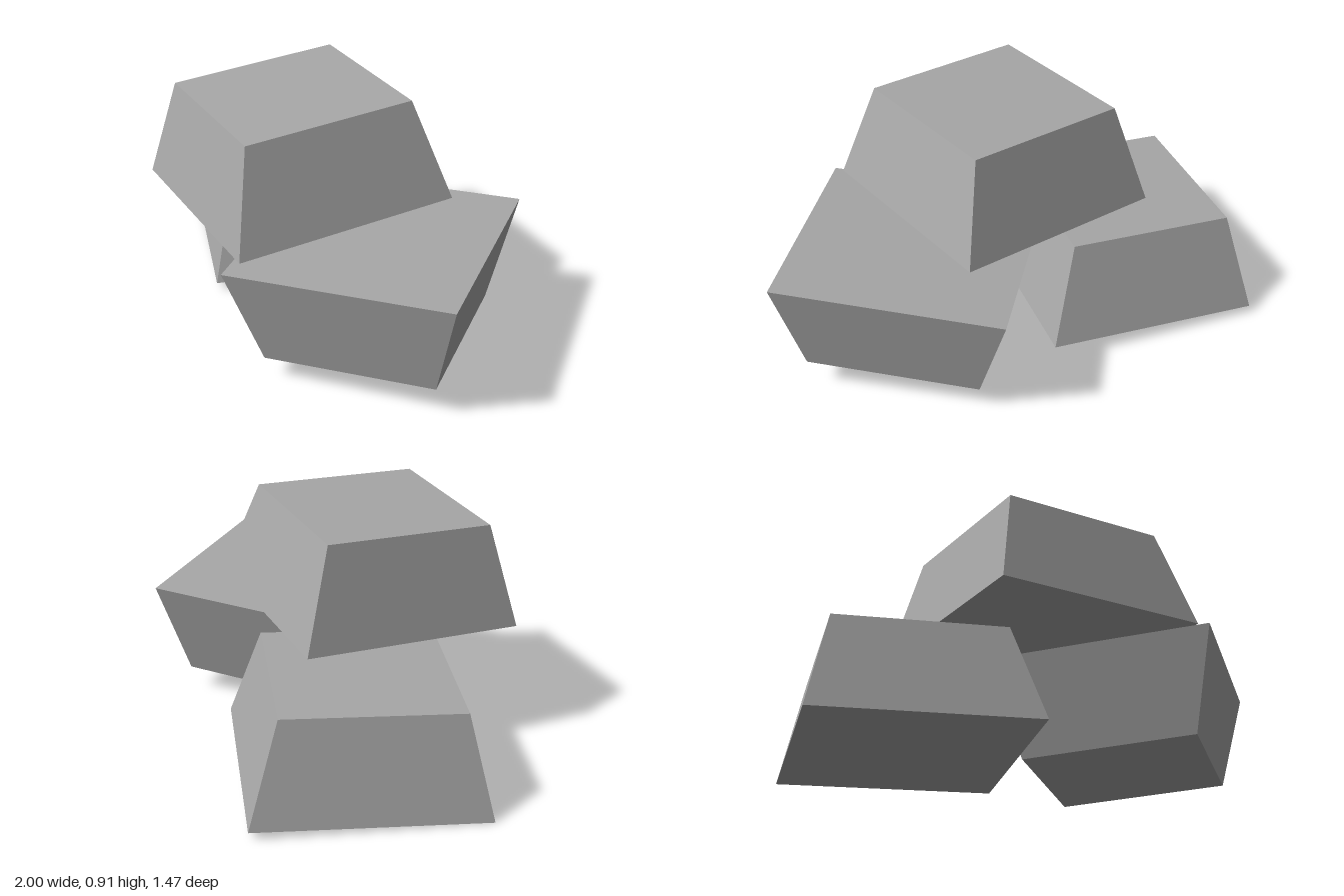
import * as THREE from 'three';

const WIDTH = 0.85, HEIGHT = 0.387, DEPTH = 0.87, TAPER = 0.765;

// Block with its wide base at y = 0, narrowing towards the other end
function taperedBlock() {
  const geo = new THREE.BoxGeometry(WIDTH, HEIGHT, DEPTH).translate(0, HEIGHT / 2, 0);
  const p = geo.attributes.position;
  for (let i = 0; i < p.count; i++) {
    if (p.getY(i) > HEIGHT / 2) p.setXYZ(i, p.getX(i) * TAPER, HEIGHT, p.getZ(i) * TAPER);
  }
  geo.computeVertexNormals();
  return geo;
}

// Each stone: centre of its wide face and the two edge directions of that face;
// their cross product points towards the narrow end
const STONES = [
  { name: 'lowerRightStone', base: [-0.425, 0.04, -0.16], across: [0.75, 0.04, 0.388], along: [0.398, 0.03, -0.77] },
  { name: 'lowerLeftStoneUpsideDown', base: [0.41, 0.483, 0.139], across: [0.72, 0.038, -0.445], along: [0.457, 0.036, 0.737] },
  { name: 'topStone', base: [-0.046, 0.505, 0.16], across: [0.83, 0.04, 0.153], along: [0.157, 0.031, -0.857] },
];

export function createModel() {
  const model = new THREE.Group();
  model.name = 'stonePile';
  const stoneGrey = new THREE.MeshStandardMaterial({ color: 0xa8a8a8, flatShading: true });
  stoneGrey.name = 'stoneGrey';
  const geo = taperedBlock();

  for (const { name, base, across, along } of STONES) {
    const x = new THREE.Vector3(...across).normalize();
    const y = new THREE.Vector3().crossVectors(x, new THREE.Vector3(...along)).normalize();
    const z = new THREE.Vector3().crossVectors(x, y);
    const stone = new THREE.Mesh(geo, stoneGrey);
    stone.name = name;
    stone.quaternion.setFromRotationMatrix(new THREE.Matrix4().makeBasis(x, y, z));
    stone.position.set(...base);
    model.add(stone);
  }
  return model;
}
